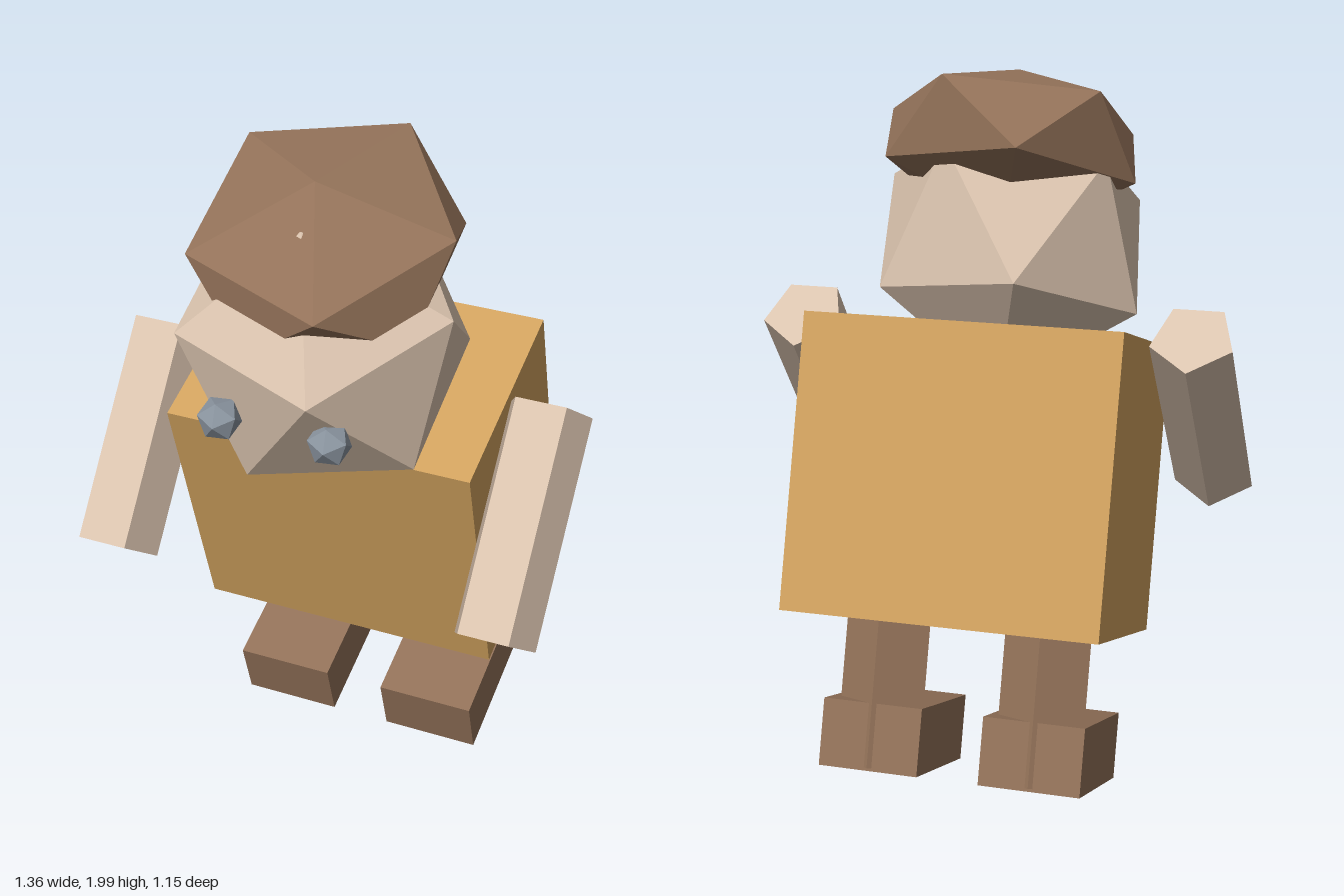
import * as THREE from 'three';

const flat = (name, color) => {
  const m = new THREE.MeshStandardMaterial({ color, flatShading: true });
  m.name = name;
  return m;
};

// Icosahedron standing on a corner, turned about its upright axis, optionally squashed
function gem(radius, turn, squash = 1) {
  const g = new THREE.IcosahedronGeometry(radius, 0);
  g.rotateX(-Math.atan((1 + Math.sqrt(5)) / 2));
  g.rotateY(turn);
  g.scale(1, squash, 1);
  return g;
}

// Five-sided rod with its flat side to the front
function rod(radius, length) {
  return new THREE.CylinderGeometry(radius, radius, length, 5).rotateY(Math.PI);
}

export function createModel() {
  const model = new THREE.Group();
  model.name = 'figure';

  const tan = flat('tan', 0xdac3ae);
  const ochre = flat('ochre', 0xd2a35f);
  const brown = flat('brown', 0x937259);
  const blue = flat('blue', 0x7790b0);
  const grey = flat('grey', 0x8a949f);

  const add = (parent, name, geometry, material, x, y, z, tilt = 0) => {
    const mesh = new THREE.Mesh(geometry, material);
    mesh.name = name;
    mesh.position.set(x, y, z);
    mesh.rotation.x = tilt;
    parent.add(mesh);
    return mesh;
  };

  // Body leans forward and carries the limbs
  const lean = new THREE.Group();
  lean.name = 'leaningBody';
  lean.position.set(0.01, 0.905, -0.156);
  lean.rotation.set(0.297, -0.03, 0, 'YXZ');
  model.add(lean);

  add(lean, 'torso', new THREE.BoxGeometry(0.88, 0.805, 0.61), ochre, 0, 0, 0);

  for (const [side, s] of [['left', 1], ['right', -1]]) {
    add(lean, side + 'Arm', rod(0.12, 0.64), tan, s * 0.56, 0.237, 0.276, -0.977);
    add(lean, side + 'Leg', rod(0.128, 0.53), brown, s * 0.23, -0.565, 0.04);
    add(lean, side + 'Foot', new THREE.BoxGeometry(0.285, 0.187, 0.42), brown, s * 0.23, -0.745, 0.13);
  }

  // Pouch on the left hip
  add(lean, 'pouch', new THREE.BoxGeometry(0.14, 0.22, 0.075), blue, 0.5, -0.136, 0.204, 0.13);

  // Head, cap and eyes share one tilt
  const tilt = 0.405;
  add(model, 'head', gem(0.42, 0.28), tan, 0, 1.497, 0.167, tilt);
  add(model, 'cap', gem(0.403, 0.28, 0.54), brown, -0.002, 1.775, 0.147, tilt);
  add(model, 'leftEye', gem(0.06, 0.1), grey, 0.14, 1.4, 0.505, tilt);
  add(model, 'rightEye', gem(0.06, 0.1), grey, -0.165, 1.4, 0.495, tilt);

  return model;
}
